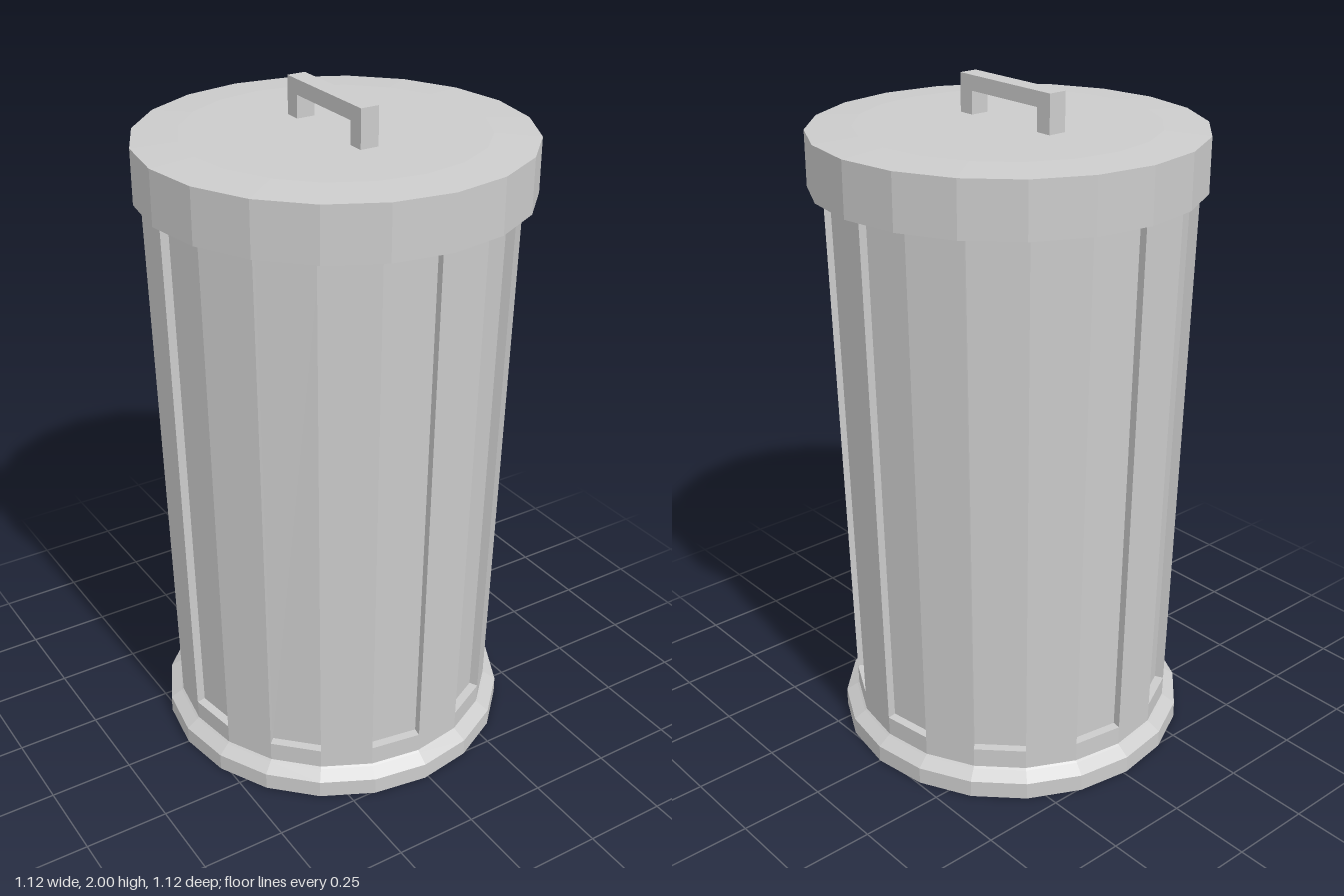
import * as THREE from 'three';

const SIDES = 20;
const STEP = (Math.PI * 2) / SIDES;
const PANEL_LOW = 0.14, PANEL_HIGH = 1.71, DEPTH = 0.027;

const material = new THREE.MeshStandardMaterial({ color: 0xcccccc, flatShading: true });

function addMesh(parent, name, geometry) {
  const mesh = new THREE.Mesh(geometry, material);
  mesh.name = name;
  parent.add(mesh);
  return mesh;
}

// Faceted ring or shell turned from [radius, height] pairs, lowest first
function turned(profile) {
  return new THREE.LatheGeometry(profile.map(([r, y]) => new THREE.Vector2(r, y)), SIDES);
}

// Radius of the tapering wall at a given height
const wallRadius = (y) => 0.492 + (0.528 - 0.492) * (y - 0.08) / (1.72 - 0.08);

function wallPoint(i, y) {
  const r = wallRadius(y), a = i * STEP;
  return new THREE.Vector3(r * Math.sin(a), y, r * Math.cos(a));
}

// Wall of flat staves, every second one sunk inward with a rim around it
function stavesGeometry() {
  const positions = [];
  const quad = (a, b, c, d) => {
    for (const p of [a, b, c, a, c, d]) positions.push(p.x, p.y, p.z);
  };
  for (let i = 0; i < SIDES; i++) {
    const outer = [
      wallPoint(i, PANEL_LOW), wallPoint(i + 1, PANEL_LOW),
      wallPoint(i + 1, PANEL_HIGH), wallPoint(i, PANEL_HIGH),
    ];
    if (i % 2 === 0) {
      quad(...outer);
      continue;
    }
    const mid = (i + 0.5) * STEP;
    const inward = new THREE.Vector3(-Math.sin(mid), 0, -Math.cos(mid)).multiplyScalar(DEPTH);
    const inner = outer.map((p) => p.clone().add(inward));
    quad(...inner);
    for (let k = 0; k < 4; k++) {
      const n = (k + 1) % 4;
      quad(outer[k], outer[n], inner[n], inner[k]);
    }
  }
  const geometry = new THREE.BufferGeometry();
  geometry.setAttribute('position', new THREE.Float32BufferAttribute(positions, 3));
  geometry.computeVertexNormals();
  return geometry;
}

export function createModel() {
  const model = new THREE.Group();
  model.name = 'trashCan';

  // Can: foot, staved wall and upper band
  const can = new THREE.Group();
  can.name = 'can';
  can.position.x = -0.012;
  model.add(can);
  addMesh(can, 'foot', turned([
    [0, 0], [0.532, 0], [0.532, 0.052], [0.498, 0.075],
    [wallRadius(0.08), 0.08], [wallRadius(PANEL_LOW), PANEL_LOW],
  ]));
  addMesh(can, 'stavedWall', stavesGeometry());
  addMesh(can, 'upperBand', turned([
    [wallRadius(PANEL_HIGH), PANEL_HIGH], [wallRadius(1.74), 1.74],
  ]));

  // Lid with a skirt and a barely domed top
  addMesh(model, 'lid', turned([
    [0, 1.722], [0.56, 1.722], [0.56, 1.88], [0.43, 1.889], [0, 1.889],
  ]));

  // Handle: square-section bridge standing on the lid
  const handle = new THREE.Shape();
  [[-0.186, 1.87], [-0.136, 1.87], [-0.136, 1.956], [0.136, 1.956],
    [0.136, 1.87], [0.186, 1.87], [0.186, 2], [-0.186, 2]]
    .forEach(([x, y], i) => (i ? handle.lineTo(x, y) : handle.moveTo(x, y)));
  const bar = new THREE.ExtrudeGeometry(handle, { depth: 0.056, bevelEnabled: false });
  bar.translate(0, 0, -0.028).rotateY(Math.PI / 2);
  addMesh(model, 'handle', bar).position.x = -0.011;

  return model;
}
